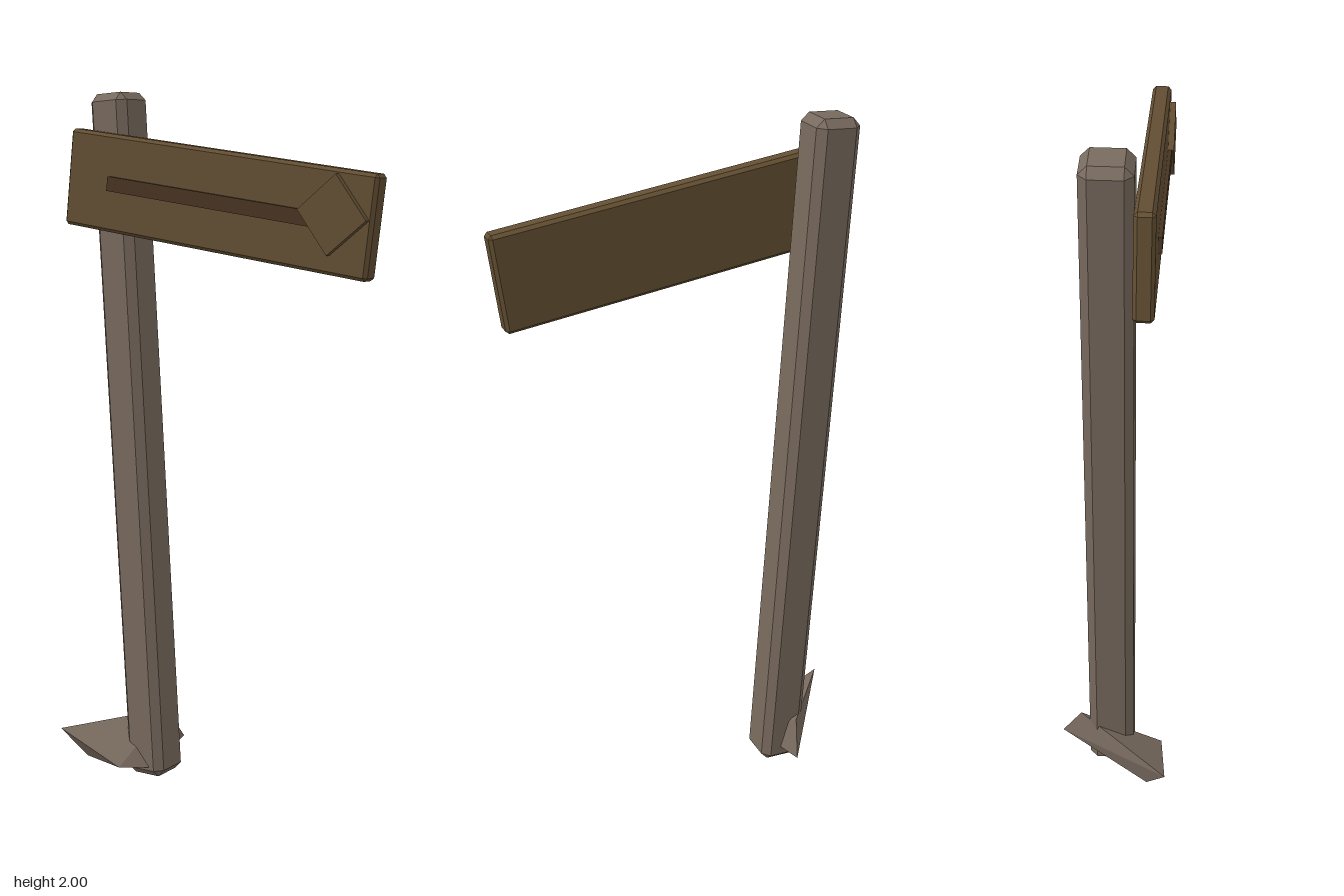
import * as THREE from 'three';
import { ConvexGeometry } from 'three/addons/geometries/ConvexGeometry.js';

const postWood = new THREE.MeshStandardMaterial({ color: 0x786a5e });
postWood.name = 'weathered grey wood';
const boardWood = new THREE.MeshStandardMaterial({ color: 0x624e32 });
boardWood.name = 'brown board wood';
const darkWood = new THREE.MeshStandardMaterial({ color: 0x483422 });
darkWood.name = 'dark carved wood';

// Box with every edge cut at 45 degrees, as the hull of 24 corner points
function chamferedBox(w, h, d, c) {
  const points = [];
  const half = [w / 2, h / 2, d / 2];
  for (const sx of [-1, 1]) for (const sy of [-1, 1]) for (const sz of [-1, 1]) {
    for (let full = 0; full < 3; full++) {
      const [x, y, z] = half.map((v, i) => (i === full ? v : v - c));
      points.push(new THREE.Vector3(sx * x, sy * y, sz * z));
    }
  }
  return new ConvexGeometry(points);
}

export function createModel() {
  const model = new THREE.Group();
  model.name = 'signpost';

  function add(name, geometry, material, position, tilt = 0) {
    const mesh = new THREE.Mesh(geometry, material);
    mesh.name = name;
    mesh.position.set(...position);
    mesh.rotation.z = tilt;
    model.add(mesh);
  }

  // Leaning post
  add('post', chamferedBox(0.129, 1.996, 0.127, 0.022), postWood, [-0.348, 1, -0.009], 0.0565);

  // Sloping board with a raised arrow: shaft and square head
  const slope = -0.125;
  add('board', chamferedBox(1.003, 0.268, 0.051, 0.009), boardWood, [-0.001, 1.705, 0.0795], slope);
  add('arrowShaft', new THREE.BoxGeometry(0.67, 0.04, 0.02), darkWood, [-0.014, 1.706, 0.105], slope);
  add('arrowHead', new THREE.BoxGeometry(0.145, 0.145, 0.026), boardWood,
    [0.387, 1.675, 0.108], slope + Math.PI / 4);

  // Angular wedge at the foot of the post
  const wedge = [
    [-0.525, 0.134, 0.153], [-0.297, 0.065, -0.157], [-0.32, 0.164, -0.1],
    [-0.314, 0.053, 0.137], [-0.264, 0.036, 0.05], [-0.468, 0.044, 0.1],
  ].map((p) => new THREE.Vector3(...p));
  add('footWedge', new ConvexGeometry(wedge), postWood, [0, 0, 0]);

  return model;
}
